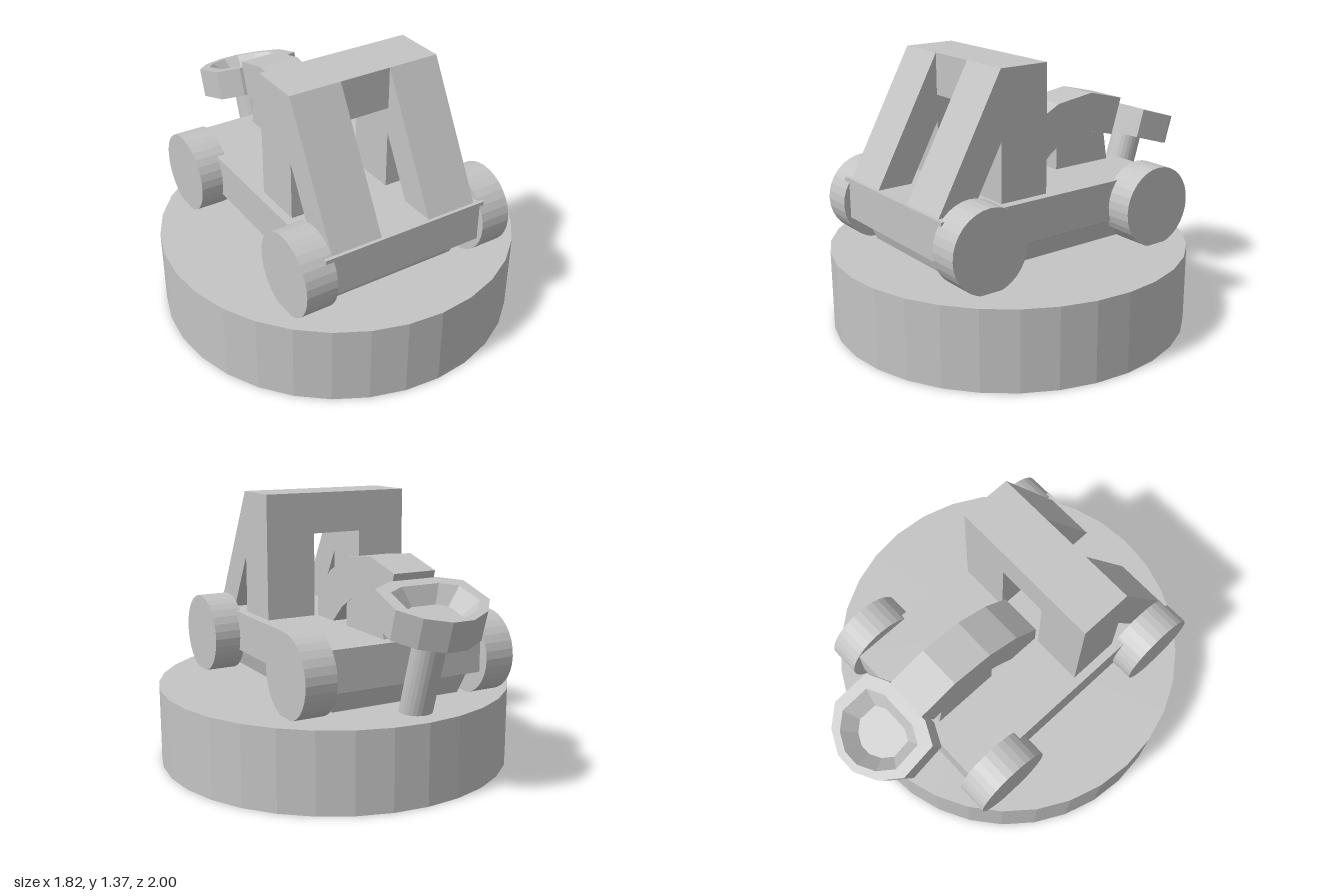
import * as THREE from 'three';

const stone = new THREE.MeshStandardMaterial({ color: 0xc4c4c4, flatShading: true });
stone.name = 'stone grey';
const MID = -0.04; // centre line of the vehicle

function add(parent, name, geometry, x = 0, y = 0, z = 0) {
  const mesh = new THREE.Mesh(geometry, stone);
  mesh.name = name;
  mesh.position.set(x, y, z);
  parent.add(mesh);
  return mesh;
}

// Side profile of [z, y] points, extruded across x from x0 to x1
function slab(profile, x0, x1) {
  const shape = new THREE.Shape(profile.map(([z, y]) => new THREE.Vector2(-z, y)));
  const g = new THREE.ExtrudeGeometry(shape, { depth: x1 - x0, bevelEnabled: false });
  return g.rotateY(Math.PI / 2).translate(x0, 0, 0);
}

// Skin over rings of [x, y, z] points (each counter-clockwise from above), capped at both ends
function loft(rings) {
  const pos = [];
  const n = rings[0].length;
  const tri = (...corners) => corners.forEach((c) => pos.push(...c));
  for (let r = 0; r + 1 < rings.length; r++) {
    for (let i = 0; i < n; i++) {
      const j = (i + 1) % n, a = rings[r], b = rings[r + 1];
      tri(a[i], a[j], b[j]);
      tri(a[i], b[j], b[i]);
    }
  }
  const first = rings[0], last = rings[rings.length - 1];
  for (let i = 1; i + 1 < n; i++) {
    tri(first[0], first[i + 1], first[i]);
    tri(last[0], last[i], last[i + 1]);
  }
  const g = new THREE.BufferGeometry();
  g.setAttribute('position', new THREE.Float32BufferAttribute(pos, 3));
  g.computeVertexNormals();
  return g;
}

const rectRing = (y, hx, z0, z1) => [[-hx, y, z1], [hx, y, z1], [hx, y, z0], [-hx, y, z0]];

export function createModel() {
  const model = new THREE.Group();
  model.name = 'siegeVehicle';

  // Round plinth
  add(model, 'plinth', new THREE.CylinderGeometry(0.91, 0.91, 0.404, 32), 0, 0.202, 0.09);

  // Chassis with a narrower tapered underbody
  add(model, 'chassis', loft([
    rectRing(0.40, 0.355, -0.47, 0.64),
    rectRing(0.50, 0.385, -0.50, 0.67),
    rectRing(0.53, 0.443, -0.59, 0.76),
    rectRing(0.735, 0.443, -0.59, 0.76),
  ]), MID);

  // Four wheels
  const wheel = new THREE.CylinderGeometry(0.205, 0.205, 0.16, 32).rotateZ(Math.PI / 2);
  for (const [end, z] of [['front', 0.59], ['rear', -0.44]]) {
    for (const [side, s] of [['Left', 1], ['Right', -1]]) {
      add(model, end + side + 'Wheel', wheel, -0.03 + s * 0.49, 0.6, z);
    }
  }

  // Upright frame: two braced legs and a cross beam
  const leg = [[0.13, 0.73], [0.13, 1.37], [0.395, 1.37], [0.745, 0.73],
    [0.56, 0.73], [0.395, 1.03], [0.395, 0.73]];
  add(model, 'frameRightLeg', slab(leg, -0.44, -0.175));
  add(model, 'frameLeftLeg', slab(leg, 0.09, 0.355));
  add(model, 'crossBeam', new THREE.BoxGeometry(0.265, 0.208, 0.265), -0.0425, 1.266, 0.2625);

  // Curved throwing arm and its support block
  const arm = [[0.13, 0.73], [0.13, 0.86], [-0.005, 0.99], [-0.18, 1.08], [-0.4, 1.11], [-0.61, 1.057],
    [-0.55, 0.865], [-0.4, 0.905], [-0.23, 0.885], [-0.13, 0.825], [-0.03, 0.73]];
  add(model, 'arm', slab(arm, -0.153, 0.07));
  const block = [[-0.17, 0.73], [-0.17, 0.87], [-0.23, 0.884], [-0.4, 0.904], [-0.495, 0.88], [-0.52, 0.73]];
  add(model, 'armSupport', slab(block, -0.15, 0.067));

  // Tilted bowl with a hollow, on a leaning post
  const bowl = new THREE.Group();
  bowl.name = 'bowlAndPost';
  bowl.position.set(MID, 0.96, -0.81);
  bowl.rotation.x = -0.3;
  model.add(bowl);
  const half = [[0.13, 0.215], [0.24, 0.16], [0.25, -0.04], [0.17, -0.14], [0.055, -0.2]];
  const outline = [...half, ...half.map(([x, z]) => [-x, z]).reverse()];
  const ring = (y, scale, dz = 0) => outline.map(([x, z]) => [x * scale, y, z * scale + dz]);
  add(bowl, 'bowl', loft([ring(-0.15, 1), ring(0, 1), ring(0, 0.77, -0.01), ring(-0.08, 0.5, -0.005)]));
  add(bowl, 'post', new THREE.CylinderGeometry(0.08, 0.08, 0.46, 24), 0, -0.37, 0);

  return model;
}
